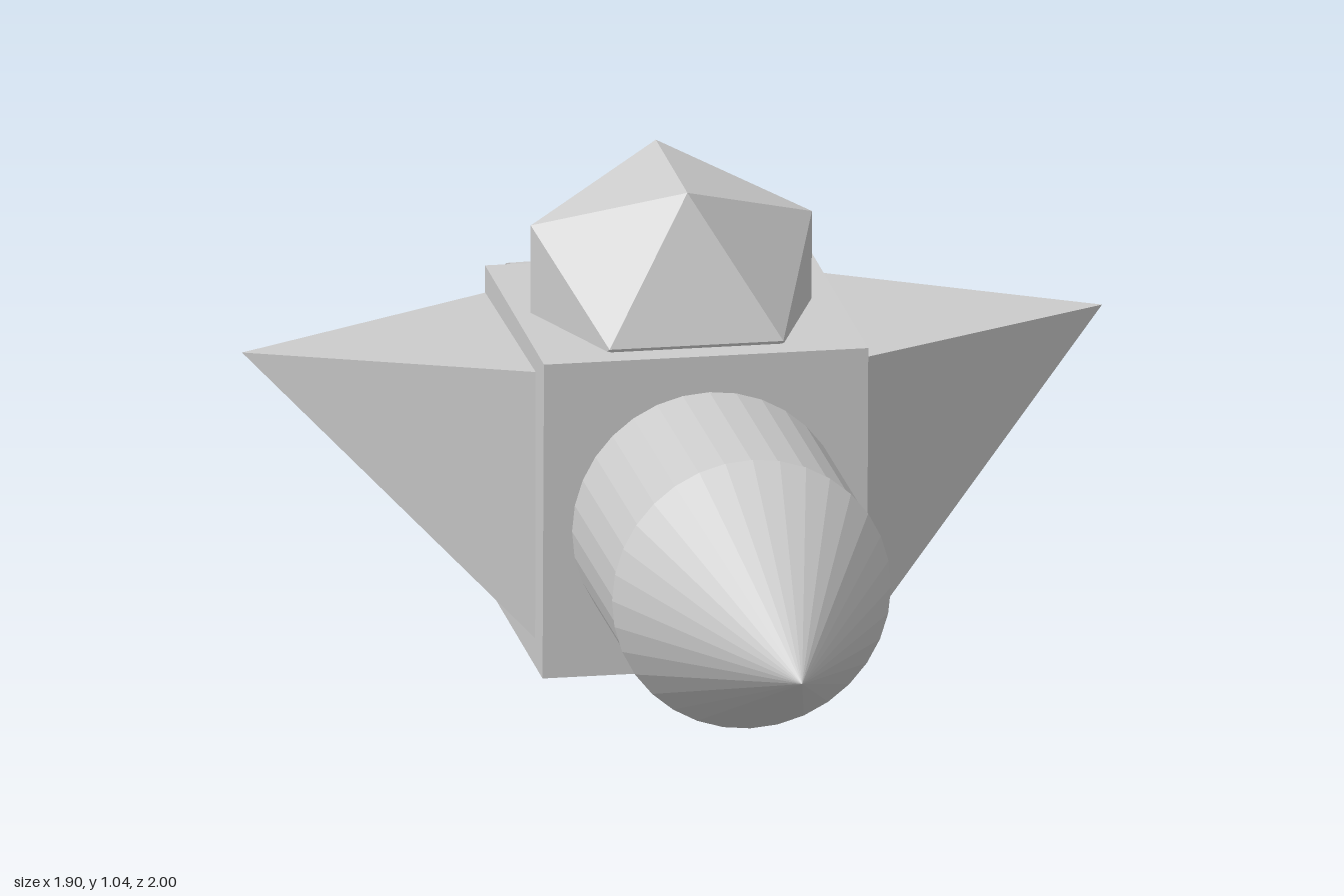
import * as THREE from 'three';
import { ConvexGeometry } from 'three/addons/geometries/ConvexGeometry.js';

const material = new THREE.MeshStandardMaterial({ color: 0xcccccc, flatShading: true });

export function createModel() {
  const model = new THREE.Group();
  const add = (name, geometry, position = [0, 0, 0], rotation = [0, 0, 0]) => {
    const mesh = new THREE.Mesh(geometry, material);
    mesh.name = name;
    mesh.position.set(...position);
    mesh.rotation.set(...rotation);
    model.add(mesh);
    return mesh;
  };
  const tilt = [0.02, -0.049, 0]; // the hull sits slightly askew

  // Cubic hull
  add('hull', new THREE.BoxGeometry(0.716, 0.716, 0.716), [0.01, 0.37, -0.465], tilt);

  // Barrel and nose cone, pointing forward
  add('barrel', new THREE.CylinderGeometry(0.302, 0.302, 0.6, 32).rotateX(Math.PI / 2),
    [-0.008, 0.333, 0.085], [0.02, -0.042, 0]);
  add('noseCone', new THREE.ConeGeometry(0.308, 0.618, 32).rotateX(Math.PI / 2),
    [-0.034, 0.312, 0.69], [0.036, -0.05, 0]);

  // Faceted canopy, half sunk into the hull
  add('canopy', new THREE.IcosahedronGeometry(0.365, 0).rotateY(Math.PI / 2),
    [0, 0.735, -0.47], tilt);

  // Side wings: square-based pyramids with the apex level with the top edge
  const wing = (name, apex, base) =>
    add(name, new ConvexGeometry([apex, ...base].map((p) => new THREE.Vector3(...p))));
  wing('leftWing', [0.95, 0.68, -0.42],
    [[0.352, 0.05, -0.15], [0.383, 0.065, -0.78], [0.383, 0.692, -0.768], [0.352, 0.68, -0.145]]);
  wing('rightWing', [-0.95, 0.677, -0.5],
    [[-0.368, 0.08, -0.19], [-0.342, 0.09, -0.79], [-0.342, 0.69, -0.78], [-0.368, 0.685, -0.185]]);

  // Horizontal tank across the back
  add('rearTank', new THREE.CylinderGeometry(0.145, 0.145, 0.585, 32).rotateZ(Math.PI / 2),
    [0.028, 0.58, -0.855]);

  // Two round thrusters with a small bore
  const ring = new THREE.Shape().absarc(0, 0, 0.17, 0, Math.PI * 2);
  ring.holes.push(new THREE.Path().absarc(0, 0, 0.04, 0, Math.PI * 2, true));
  const thruster = new THREE.ExtrudeGeometry(ring, { depth: 0.12, bevelEnabled: false, curveSegments: 32 });
  add('leftThruster', thruster, [0.21, 0.272, -0.903], tilt);
  add('rightThruster', thruster, [-0.13, 0.272, -0.918], tilt);

  return model;
}
